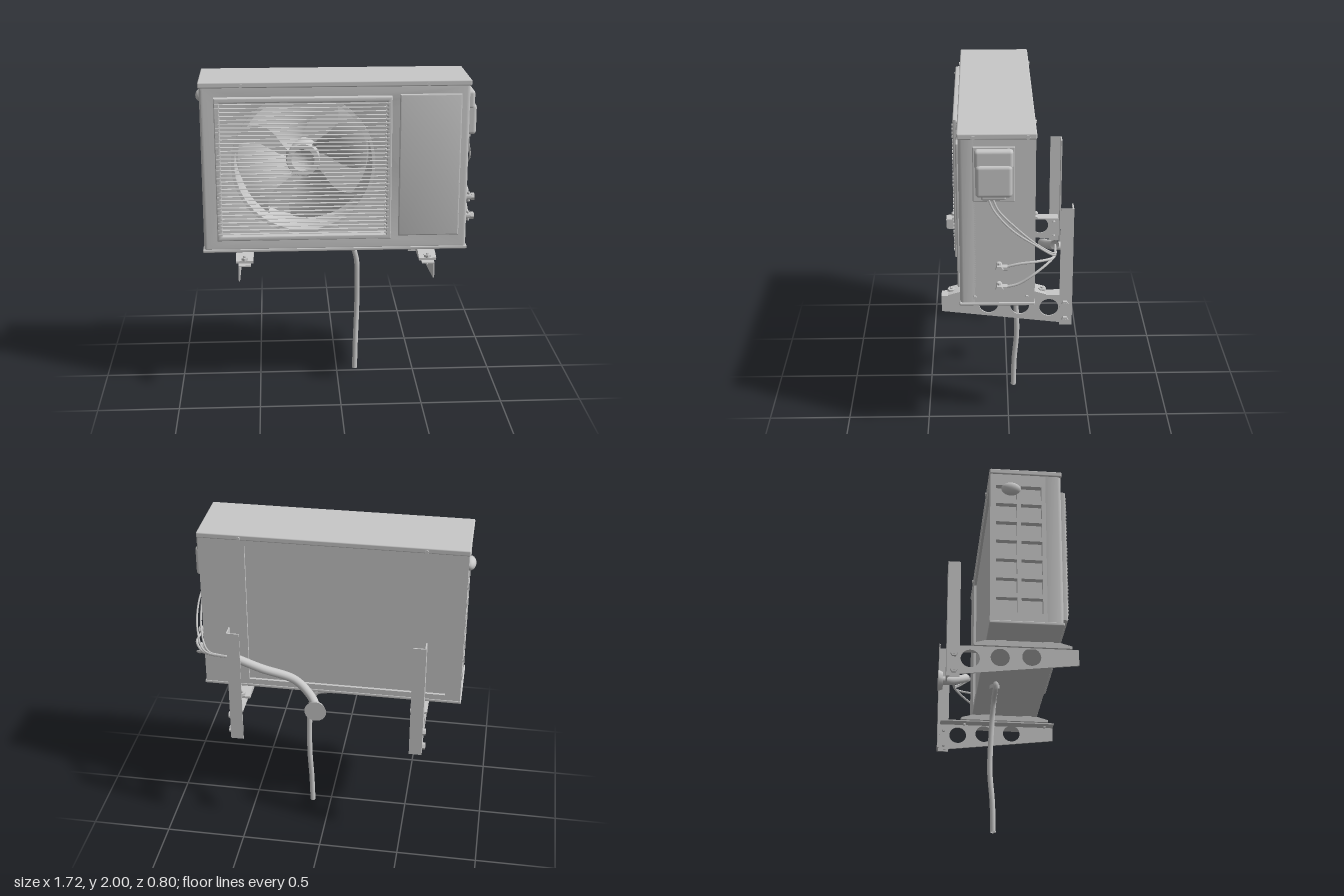
import * as THREE from 'three';
import { toCreasedNormals } from 'three/addons/utils/BufferGeometryUtils.js';
import { RoundedBoxGeometry } from 'three/addons/geometries/RoundedBoxGeometry.js';
import { ParametricGeometry } from 'three/addons/geometries/ParametricGeometry.js';

const grey = new THREE.MeshStandardMaterial({ color: 0xc8c8c8, side: THREE.DoubleSide });
grey.name = 'light grey';
const V = (x, y, z) => new THREE.Vector3(x, y, z);

function add(parent, name, geometry, x = 0, y = 0, z = 0) {
  const mesh = new THREE.Mesh(geometry, grey);
  mesh.name = name;
  mesh.position.set(x, y, z);
  parent.add(mesh);
  return mesh;
}
// Box given by its limits, optionally with rounded edges
function box(parent, name, x0, x1, y0, y1, z0, z1, r = 0) {
  const size = [x1 - x0, y1 - y0, z1 - z0];
  const g = r ? new RoundedBoxGeometry(...size, 2, r) : new THREE.BoxGeometry(...size);
  return add(parent, name, g, (x0 + x1) / 2, (y0 + y1) / 2, (z0 + z1) / 2);
}
function rect(x0, x1, y0, y1, Type = THREE.Shape) {
  const s = new Type();
  s.moveTo(x0, y0); s.lineTo(x1, y0); s.lineTo(x1, y1); s.lineTo(x0, y1); s.closePath();
  return s;
}
function extrude(shape, depth, bevel = 0) {
  const g = new THREE.ExtrudeGeometry(shape, {
    depth: depth - 2 * bevel, bevelEnabled: bevel > 0, bevelSize: bevel, bevelThickness: bevel,
    bevelOffset: -bevel, bevelSegments: 3, curveSegments: 40,
  });
  g.translate(0, 0, bevel);
  return toCreasedNormals(g, 0.6);
}
// Plate drawn in (z, y), with its outer face at x and thickness towards -x
const sidePlate = (parent, name, shape, x, t) =>
  add(parent, name, extrude(shape, t).rotateY(-Math.PI / 2), x);
function tube(parent, name, points, r, sides = 10) {
  return add(parent, name,
    new THREE.TubeGeometry(new THREE.CatmullRomCurve3(points), points.length * 7, r, sides));
}
// Cylinder along the x, y or z axis
function rod(parent, name, axis, r, len, x, y, z, sides = 12) {
  const g = new THREE.CylinderGeometry(r, r, len, sides);
  if (axis === 'x') g.rotateZ(Math.PI / 2);
  if (axis === 'z') g.rotateX(Math.PI / 2);
  return add(parent, name, toCreasedNormals(g, 0.9), x, y, z);
}

const FX = -0.215, FY = 1.5, FR = 0.415;

// Round fan opening with a flattened top
function fanHole(r = FR) {
  const p = new THREE.Path();
  p.absarc(FX, FY, r, Math.PI - 1.02, Math.PI * 2 + 1.02, false);
  p.closePath();
  return p;
}

function makeCasing(parent) {
  const g = new THREE.Group();
  g.name = 'casing';
  parent.add(g);
  const front = rect(-0.825, 0.78, 0.95, 1.985);
  front.holes.push(fanHole());
  add(g, 'frontShell', extrude(front, 0.115, 0.022), 0, 0, 0.17);
  const core = rect(-0.79, 0.775, 0.955, 1.98);
  core.holes.push(fanHole());
  add(g, 'fanWell', extrude(core, 0.22), 0, 0, -0.02);
  box(g, 'rearCore', -0.79, 0.775, 0.955, 1.98, -0.128, -0.02);
  const back = rect(-0.825, 0.775, 0.95, 1.98);
  back.holes.push(rect(-0.73, 0.5, 1.0, 1.93, THREE.Path));
  add(g, 'rearFrame', extrude(back, 0.022), 0, 0, -0.145);
  box(g, 'rightWall', 0.76, 0.78, 0.955, 1.98, -0.14, 0.2);
  box(g, 'lid', -0.832, 0.787, 1.965, 2.0, -0.15, 0.29, 0.008);
  box(g, 'basePan', -0.832, 0.787, 0.945, 0.965, -0.148, 0.288, 0.006);

  // Left wall with two columns of vent openings
  const vent = rect(-0.14, 0.19, 0.955, 1.975);
  for (let row = 0; row < 7; row++)
    for (const z of [-0.11, 0.04])
      vent.holes.push(rect(z, z + 0.125, 1.02 + row * 0.128, 1.118 + row * 0.128, THREE.Path));
  sidePlate(g, 'leftVentWall', vent, -0.79, 0.035);
  const handle = add(g, 'leftHandle', new THREE.SphereGeometry(1, 16, 10), -0.828, 1.86, -0.02);
  handle.scale.set(0.036, 0.04, 0.06);

  // Raised panel beside the grille
  add(g, 'frontPanel', extrude(rect(0.36, 0.73, 1.04, 1.92), 0.02, 0.008), 0, 0, 0.28);
  for (const x of [-0.58, 0.53])
    for (const z of [0.291, -0.151]) rod(g, 'lidScrew', 'z', 0.012, 0.012, x, 1.978, z, 6);
  for (const z of [0.2, -0.1])
    for (const y of [1.0, 1.978]) rod(g, 'sideScrew', 'x', 0.012, 0.012, 0.784, y, z, 6);
}

function makeFan(parent) {
  const g = new THREE.Group();
  g.name = 'fan';
  g.position.set(FX, FY, 0);
  parent.add(g);
  const hub = [[0.001, 0.165], [0.03, 0.17], [0.07, 0.2], [0.098, 0.2], [0.102, 0.19], [0.102, 0.03]];
  const hubGeo = new THREE.LatheGeometry(hub.map(p => new THREE.Vector2(...p)), 28);
  add(g, 'hub', toCreasedNormals(hubGeo.rotateX(Math.PI / 2), 0.6));
  rod(g, 'motor', 'z', 0.07, 0.06, 0, 0, 0.01, 20);
  for (let i = 0; i < 4; i++) {
    // Swept, pitched blade
    const blade = new ParametricGeometry((u, v, out) => {
      const r = 0.095 + 0.3 * v;
      const a = 0.42 + i * Math.PI / 2 + (u - 0.5) * (0.95 + 0.25 * v) - 0.3 * Math.sin(v * 2.6) + 0.15;
      out.set(r * Math.cos(a), r * Math.sin(a), 0.12 + (u - 0.5) * 0.11 + 0.02 * v);
    }, 10, 10);
    add(g, 'blade', blade);
  }
}

function makeGrille(parent) {
  const g = new THREE.Group();
  g.name = 'grille';
  parent.add(g);
  const frame = rect(-0.74, 0.313, 1.03, 1.912);
  frame.holes.push(rect(-0.708, 0.283, 1.06, 1.882, THREE.Path));
  add(g, 'grilleFrame', extrude(frame, 0.045, 0.008), 0, 0, 0.278);
  const rim = rect(-1, 1, -1, 1);
  rim.curves = [];
  rim.copy(new THREE.Shape(fanHole(FR + 0.018).getPoints(48)));
  rim.holes.push(fanHole(FR - 0.002));
  add(g, 'fanRim', extrude(rim, 0.012), 0, 0, 0.28);
  for (let y = 1.073; y < 1.875; y += 0.0235)
    box(g, 'slat', -0.725, 0.3, y - 0.0012, y + 0.0012, 0.298, 0.32);
  // Toothed edge where the slats meet the frame
  for (const x of [-0.722, 0.287])
    for (let y = 1.073; y < 1.875; y += 0.0235)
      box(g, 'slatEnd', x - 0.012, x + 0.012, y - 0.005, y + 0.005, 0.3, 0.328);
}

function makeConnections(parent) {
  const g = new THREE.Group();
  g.name = 'connections';
  parent.add(g);
  box(g, 'coverSeat', 0.775, 0.79, 1.6, 1.925, -0.03, 0.205, 0.006);
  box(g, 'terminalCover', 0.77, 0.838, 1.64, 1.83, -0.015, 0.19, 0.022);
  box(g, 'coverTop', 0.77, 0.825, 1.8, 1.915, -0.02, 0.195, 0.02);
  box(g, 'coverLip', 0.77, 0.81, 1.615, 1.66, 0.02, 0.16, 0.012);

  for (const y of [1.21, 1.085]) {
    rod(g, 'valveBody', 'x', 0.018, 0.08, 0.815, y, 0.06);
    rod(g, 'valveCap', 'x', 0.024, 0.02, 0.85, y, 0.06, 6);
    rod(g, 'valveNut', 'z', 0.02, 0.035, 0.825, y, 0.03, 6);
    rod(g, 'valveStem', 'y', 0.01, 0.06, 0.825, y, 0.06, 8);
    tube(g, 'refrigerantPipe', [V(0.825, y, 0.04), V(0.83, y + 0.025, -0.05),
      V(0.82, y * 0.5 + 0.64, -0.16), V(0.75, 1.235, -0.25), V(0.57, 1.225, -0.27)], 0.008, 8);
  }
  for (const d of [0, 0.025])
    tube(g, 'cable', [V(0.8, 1.63, 0.12 - d), V(0.81, 1.56, 0.09 - d), V(0.835 - d, 1.45, -0.01 - d),
      V(0.815 - d, 1.34, -0.15), V(0.75 - d, 1.25, -0.255), V(0.57, 1.23, -0.27)], 0.006, 6);

  // Insulated hose leading to the wall collar
  tube(g, 'insulatedHose', [V(0.57, 1.23, -0.268), V(0.4, 1.15, -0.245), V(0.2, 1.07, -0.215),
    V(0.1, 1.01, -0.265), V(0.05, 0.975, -0.33), V(0.038, 0.97, -0.39)], 0.027, 14);
  const collar = new THREE.CylinderGeometry(0.068, 0.055, 0.03, 18).rotateX(-Math.PI / 2);
  add(g, 'wallCollar', toCreasedNormals(collar, 0.6), 0.038, 0.97, -0.385);

  // Drain elbow and hanging pipe
  rod(g, 'drainSocket', 'y', 0.032, 0.03, 0.03, 0.935, -0.04);
  tube(g, 'drainElbow', [V(0.03, 0.94, -0.04), V(0.0, 0.925, -0.04), V(-0.05, 0.925, -0.04),
    V(-0.045, 0.9, -0.04), V(0.02, 0.89, -0.04), V(0.09, 0.87, -0.04), V(0.125, 0.79, -0.045),
    V(0.135, 0.6, -0.055), V(0.133, 0.4, -0.06), V(0.125, 0.2, -0.045), V(0.12, 0.005, -0.04)], 0.017, 10);
}

// L-section wall bracket; side is the direction of its web
function makeBracket(parent, name, x, side) {
  const g = new THREE.Group();
  g.name = name;
  g.position.x = x;
  parent.add(g);
  const arm = new THREE.Shape([[0.4, 0.9], [-0.36, 0.9], [-0.36, 0.71], [0.4, 0.8]]
    .map(p => new THREE.Vector2(...p)));
  [[0.12, 0.842], [-0.065, 0.832], [-0.24, 0.818]].forEach(([z, y]) => {
    const hole = new THREE.Path();
    hole.absarc(z, y, 0.056, 0, Math.PI * 2);
    arm.holes.push(hole);
  });
  sidePlate(g, 'armWeb', arm, side * 0.034 + 0.004, 0.008);
  box(g, 'armFlange', -0.038, 0.038, 0.892, 0.9, -0.36, 0.4);
  box(g, 'postBack', -0.038, 0.038, 0.7, 1.46, -0.378, -0.37);
  box(g, 'postWeb', side * 0.037 - 0.004, side * 0.037 + 0.004, 0.7, 1.46, -0.378, -0.302);
  for (const y of [0.74, 0.845]) {
    rod(g, 'postBolt', 'x', 0.022, 0.02, side * 0.048, y, -0.335, 6);
    rod(g, 'boltShank', 'x', 0.01, 0.05, side * 0.035, y, -0.335, 8);
  }
  // Mounting foot under the casing
  const foot = new THREE.Shape([[0.36, 0.9], [0.36, 0.915], [0.29, 0.935], [-0.15, 0.935], [-0.22, 0.915], [-0.22, 0.9]]
    .map(p => new THREE.Vector2(...p)));
  sidePlate(g, 'foot', foot, 0.053, 0.106);
  for (const z of [0.34, -0.2]) {
    rod(g, 'footBolt', 'y', 0.024, 0.018, 0, 0.922, z, 6);
    rod(g, 'footStud', 'y', 0.009, 0.06, 0, 0.91, z, 8);
  }
  for (const z of [0.22, -0.06]) box(g, 'footSpacer', -0.04, 0.04, 0.93, 0.95, z - 0.03, z + 0.03);
}

export function createModel() {
  const model = new THREE.Group();
  model.name = 'outdoorAirConditioner';
  makeCasing(model);
  makeFan(model);
  makeGrille(model);
  makeConnections(model);
  makeBracket(model, 'leftSideBracket', 0.537, 1);
  makeBracket(model, 'rightSideBracket', -0.578, -1);
  return model;
}
